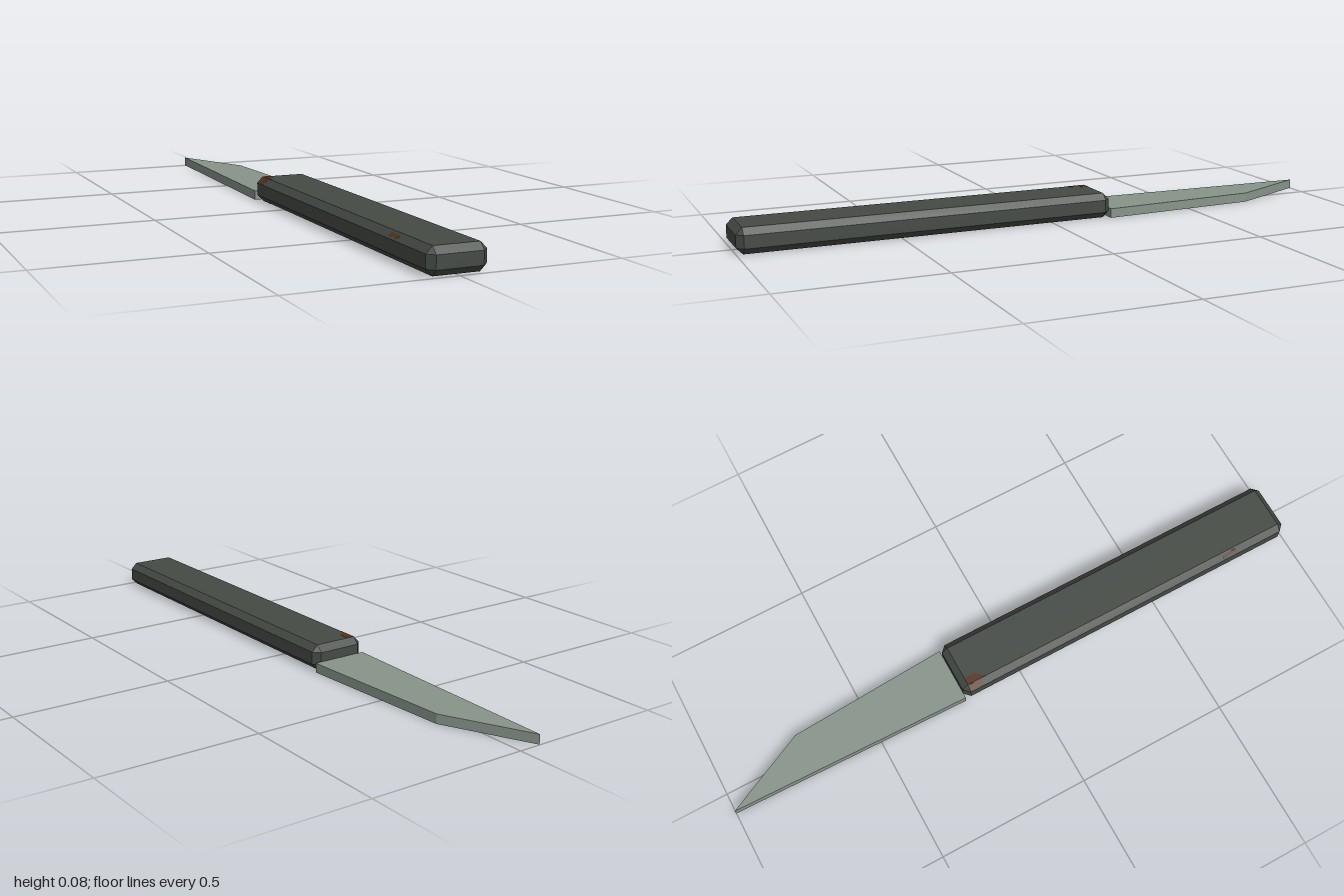
import * as THREE from 'three';
import { ConvexGeometry } from 'three/addons/geometries/ConvexGeometry.js';

const mat = (name, color) => {
  const m = new THREE.MeshStandardMaterial({ color });
  m.name = name;
  return m;
};

// Flat slab from an [x, z] outline, lying on y = 0
function slab(points, height) {
  const shape = new THREE.Shape(points.map(([x, z]) => new THREE.Vector2(x, -z)));
  return new THREE.ExtrudeGeometry(shape, { depth: height, bevelEnabled: false }).rotateX(-Math.PI / 2);
}

// Box with every edge cut at 45 degrees
function chamferedBox(w, h, d, c) {
  const points = [];
  for (const sx of [-1, 1]) for (const sy of [-1, 1]) for (const sz of [-1, 1]) {
    for (let axis = 0; axis < 3; axis++) {
      const half = [w / 2, h / 2, d / 2].map((v, i) => (i === axis ? v : v - c));
      points.push(new THREE.Vector3(sx * half[0], sy * half[1], sz * half[2]));
    }
  }
  return new ConvexGeometry(points);
}

export function createModel() {
  const group = new THREE.Group();
  const steel = mat('blade steel', 0x87948a);
  const dark = mat('dark handle', 0x454a45);
  const rust = mat('brown wear', 0x57341c);

  const add = (name, geometry, material, x = 0, y = 0, z = 0) => {
    const mesh = new THREE.Mesh(geometry, material);
    mesh.name = name;
    mesh.position.set(x, y, z);
    group.add(mesh);
    return mesh;
  };

  // Handle
  add('handle', chamferedBox(0.18, 0.08, 1.2, 0.02), dark, 0, 0.04, 0.4);

  // Blade with a slanted tip
  add('blade', slab([[-0.09, -0.2], [0.09, -0.2], [0.06, -0.73], [-0.07, -1]], 0.03), steel);

  // Worn corner next to the blade, above and below
  const corner = [[-0.07, -0.18], [-0.045, -0.18], [-0.045, -0.145], [-0.07, -0.115]];
  add('topWear', slab(corner, 0.001), rust, 0, 0.0797, 0);
  add('bottomWear', slab(corner, 0.001), rust, 0, -0.0007, 0);

  // Worn spots on the upper slanted edges: side, z, width, length
  for (const [side, z, width, length] of [[-1, -0.155, 0.024, 0.05], [-1, 0.79, 0.012, 0.05]]) {
    const spot = add('edgeWear', new THREE.BoxGeometry(width, 0.001, length), rust, side * 0.08, 0.07, z);
    spot.rotation.z = -side * Math.PI / 4;
  }
  return group;
}
